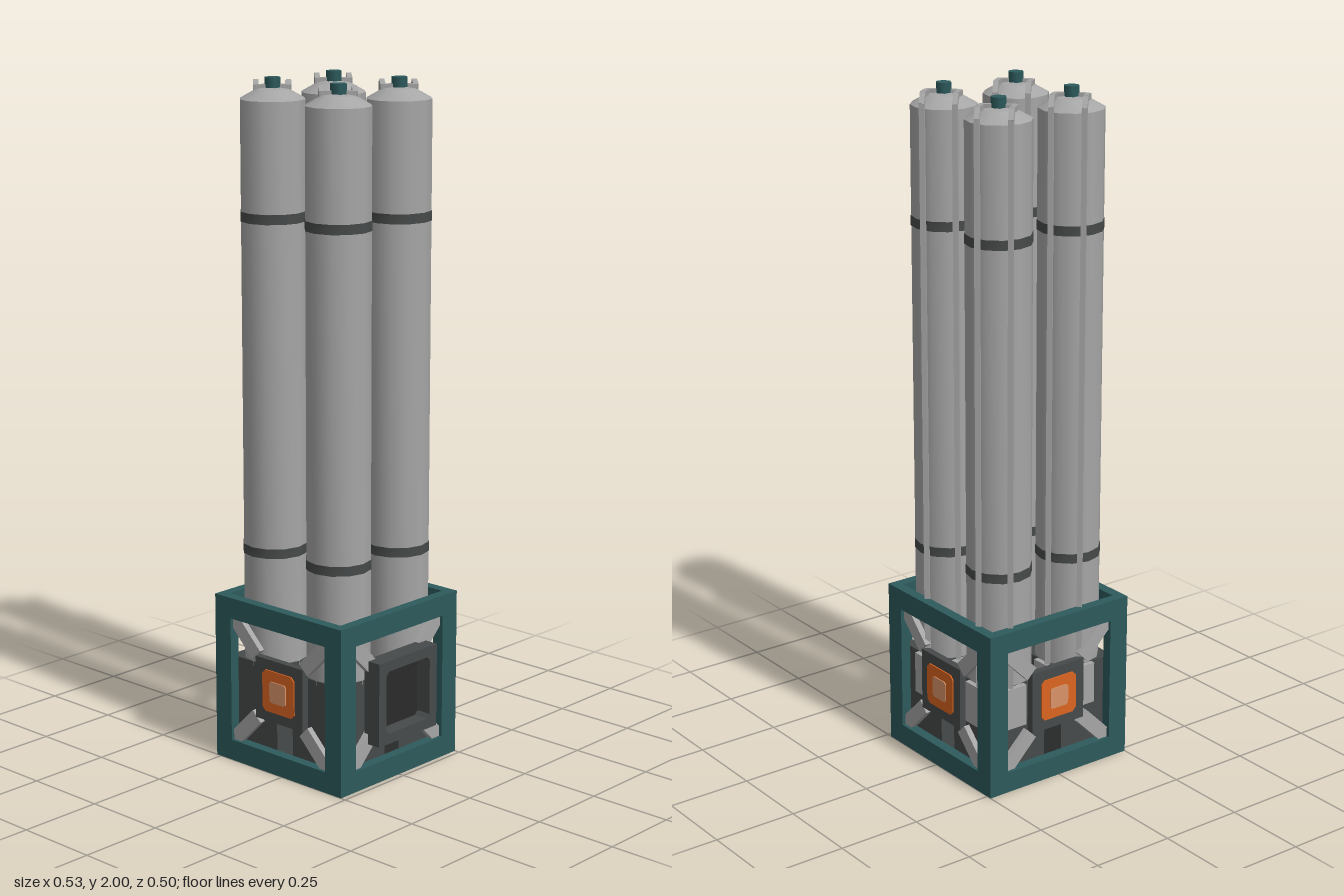
import * as THREE from 'three';
import { toCreasedNormals } from 'three/addons/utils/BufferGeometryUtils.js';

const mat = (name, color) => {
  const m = new THREE.MeshStandardMaterial({ color });
  m.name = name;
  return m;
};

export function createModel() {
  const teal = mat('teal', 0x2d5a5c);
  const dark = mat('darkGrey', 0x474a4a);
  const black = mat('black', 0x2b2b2b);
  const grey = mat('grey', 0xa6a6a6);
  const orange = mat('orange', 0xdb6420);
  const pale = mat('paleOrange', 0xd99468);

  const add = (parent, name, geo, material, x = 0, y = 0, z = 0) => {
    const m = new THREE.Mesh(geo, material);
    m.name = name;
    m.position.set(x, y, z);
    parent.add(m);
    return m;
  };
  const box = (parent, name, material, w, h, d, x, y, z) =>
    add(parent, name, new THREE.BoxGeometry(w, h, d), material, x, y, z);

  // square outline with optional cut corners
  const square = (half, cut = 0, T = THREE.Shape) => {
    const s = new T(), a = half - cut;
    const pts = cut
      ? [[-a, -half], [a, -half], [half, -a], [half, a], [a, half], [-a, half], [-half, a], [-half, -a]]
      : [[-half, -half], [half, -half], [half, half], [-half, half]];
    return s.setFromPoints(pts.map(p => new THREE.Vector2(...p)));
  };
  const ring = (outer, inner, depth, cut = 0) => {
    const s = square(outer);
    s.holes.push(square(inner, cut, THREE.Path));
    return new THREE.ExtrudeGeometry(s, { depth, bevelEnabled: false });
  };
  const plate = (half, depth, cut) =>
    new THREE.ExtrudeGeometry(square(half, cut), { depth, bevelEnabled: false });

  // square bar between two points, in the parent's own space
  const bar = (parent, name, a, b, size) => {
    const p = new THREE.Vector3(...a), q = new THREE.Vector3(...b);
    const geo = new THREE.BoxGeometry(size, size, p.distanceTo(q) + size * 0.4);
    const turn = new THREE.Matrix4().lookAt(q, p, new THREE.Vector3(1, 0, -1));
    const m = add(parent, name, geo, grey);
    m.quaternion.setFromRotationMatrix(turn);
    m.position.copy(p).add(q).multiplyScalar(0.5);
  };

  const model = new THREE.Group();
  model.name = 'tankRack';
  const rack = new THREE.Group();
  rack.name = 'rack';
  rack.position.x = -0.016;
  model.add(rack);

  // four sides of the base: frame, diagonal braces and centre panel
  for (let i = 0; i < 4; i++) {
    const side = new THREE.Group();
    side.name = 'baseSide';
    side.rotation.y = i * Math.PI / 2;
    side.position.y = 0.25;
    rack.add(side);
    add(side, 'frame', ring(0.25, 0.1875, 0.031), teal, 0, 0, 0.219);
    for (const sx of [-1, 1]) for (const sy of [-1, 1]) {
      const b = box(side, 'brace', grey, 0.15, 0.044, 0.018, sx * 0.147, sy * 0.147, 0.231);
      b.rotation.z = sx * sy * Math.PI / 4;
    }
    if (i === 1) {
      // hatch with a recessed black door
      add(side, 'hatchFrame', ring(0.125, 0.094, 0.056, 0.012), dark, 0, 0, 0.226);
      add(side, 'hatchDoor', plate(0.096, 0.008, 0), black, 0, 0, 0.228);
    } else {
      add(side, 'panel', plate(0.094, 0.022, 0), dark, 0, 0, 0.221);
      add(side, 'panelLight', plate(0.063, 0.004, 0.012), orange, 0, 0, 0.243);
      add(side, 'panelLightCentre', plate(0.032, 0.003, 0.006), pale, 0, 0, 0.247);
    }
  }

  // cross bars joining opposite panels
  box(rack, 'crossBar', grey, 0.438, 0.031, 0.031, 0, 0.25, 0);
  box(rack, 'crossBar', grey, 0.031, 0.03, 0.438, 0, 0.25, 0);

  // tank body, shoulder and bands
  const lathe = (pts, crease) => toCreasedNormals(
    new THREE.LatheGeometry(pts.map(p => new THREE.Vector2(...p)), 12), crease);
  const bodyGeo = lathe([[0.094, 0.3], [0.094, 1.94]], 0.6);
  const shoulderGeo = lathe([[0.094, 1.94], [0.046, 1.967], [0, 1.974]], 0.3);
  const bandGeo = toCreasedNormals(new THREE.CylinderGeometry(0.0955, 0.0955, 0.028, 12), 0.6);

  for (const tx of [-0.125, 0.125]) for (const tz of [-0.125, 0.125]) {
    const tank = new THREE.Group();
    tank.name = 'tankUnit';
    tank.position.set(tx, 0, tz);
    rack.add(tank);
    box(tank, 'pedestal', dark, 0.1875, 0.3105, 0.1875, 0, 0.1573, 0);
    add(tank, 'tankBody', bodyGeo, grey);
    add(tank, 'tankShoulder', shoulderGeo, grey);
    for (const y of [0.645, 1.613]) add(tank, 'band', bandGeo, dark, 0, y, 0);
    add(tank, 'cap', new THREE.CylinderGeometry(0.023, 0.023, 0.034, 6), teal, 0, 1.983, 0);

    // two pipes per tank, mirrored about the diagonal
    for (const swap of [false, true]) {
      const at = (u, y, v) => swap ? [v, y, u] : [u, y, v];
      const path = [at(-0.01, 1.973, 0.009), at(-0.033, 1.972, 0.032), at(-0.083, 1.979, -0.018),
        at(-0.097, 1.955, -0.0325), at(-0.097, 0.25, -0.0325)];
      for (let k = 0; k < path.length - 1; k++) bar(tank, 'pipe', path[k], path[k + 1], 0.015);
      const [w, , d] = at(0.0155, 0, 0.11);
      box(tank, 'valvePlate', grey, w, 0.125, d, ...at(-0.1015, 0.25, -0.039));
    }
  }
  return model;
}
